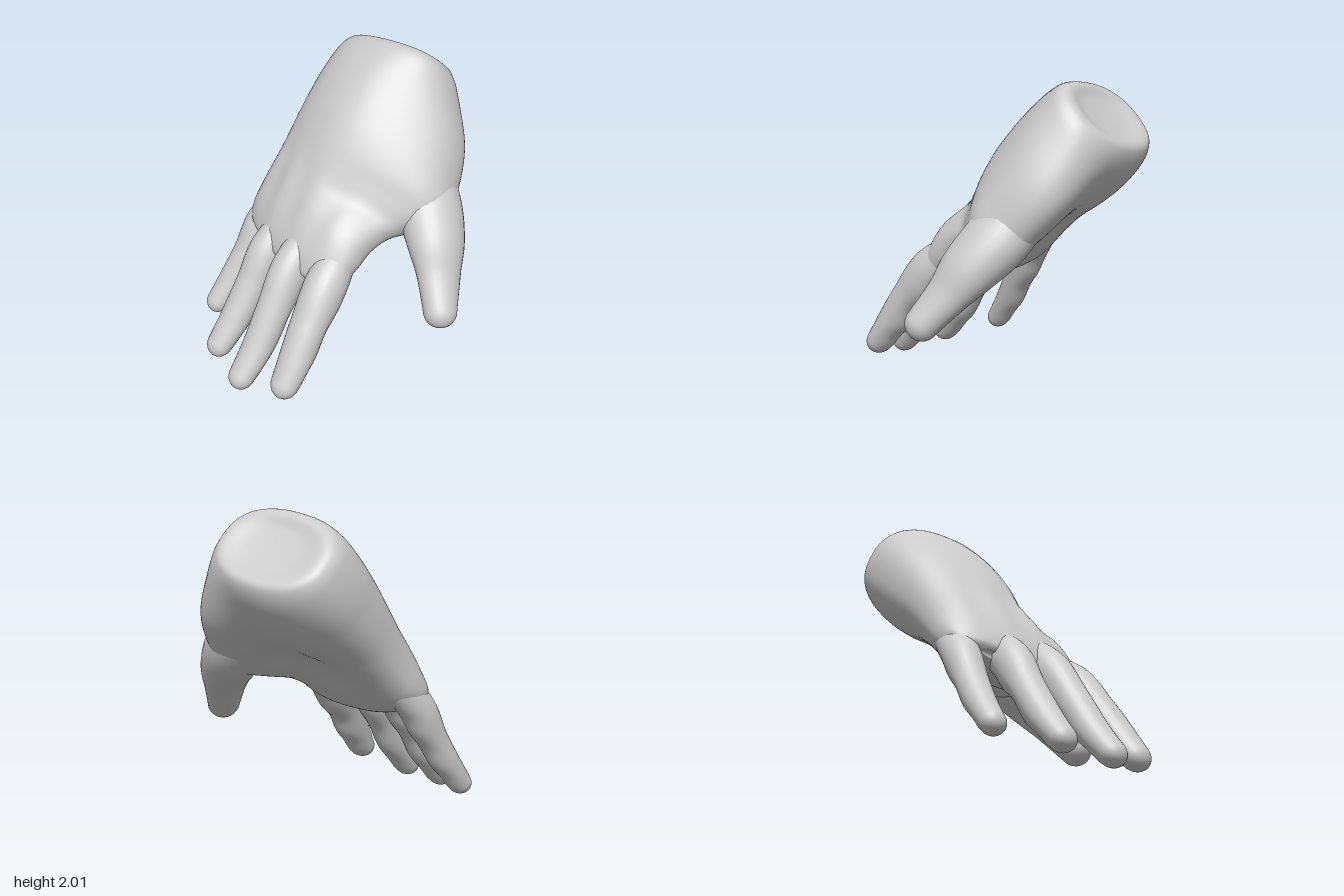
import * as THREE from 'three';

const V = (x, y, z) => new THREE.Vector3(x, y, z);
const material = new THREE.MeshStandardMaterial({ color: 0xcccccc });

// Hand frame: origin at the wrist, ALONG runs to the fingers, BACK points out of the back of the hand
const WRIST = V(0.7, 1.79, 0);
const ALONG = V(-0.69, -0.724, 0).normalize();
const BACK = V(-0.724, 0.69, 0).normalize();

// Smooth interpolation through rows of numbers, t in 0..1
function spline(rows, t) {
  const f = t * (rows.length - 1);
  const i = Math.min(Math.floor(f), rows.length - 2);
  const u = f - i;
  const row = (k) => rows[THREE.MathUtils.clamp(k, 0, rows.length - 1)];
  return rows[0].map((_, c) => {
    const [a, b, d, e] = [row(i - 1)[c], row(i)[c], row(i + 1)[c], row(i + 2)[c]];
    return b + 0.5 * u * (d - a + u * (2 * a - 5 * b + 4 * d - e + u * (3 * (b - d) + e - a)));
  });
}

// Closed skin over rings of points, with a pole at each end
function loft(name, rings) {
  const n = rings[0].length;
  const points = rings.flat();
  const index = [];
  for (let i = 0; i < rings.length - 1; i++) {
    for (let j = 0; j < n; j++) {
      const k = (j + 1) % n;
      const a = i * n + j, b = i * n + k, c = a + n, d = b + n;
      index.push(a, b, c, b, d, c);
    }
  }
  const last = (rings.length - 1) * n;
  const start = points.length;
  for (const ring of [rings[0], rings[rings.length - 1]]) {
    points.push(ring.reduce((sum, p) => sum.add(p), V(0, 0, 0)).divideScalar(n));
  }
  for (let j = 0; j < n; j++) {
    const k = (j + 1) % n;
    index.push(start, k, j, start + 1, last + j, last + k);
  }
  const geometry = new THREE.BufferGeometry().setFromPoints(points);
  geometry.setIndex(index);
  geometry.computeVertexNormals();
  const mesh = new THREE.Mesh(geometry, material);
  mesh.name = name;
  return mesh;
}

// Finger or thumb: rows of [x, y, z, half width, half thickness], ending in a rounded tip
function digit(name, rows, ref, joints) {
  const rings = [];
  const steps = 36, sides = 28, dome = 9;
  const center = (t) => V(...spline(rows, t).slice(0, 3));
  const addRing = (c, T, width, thick, pad) => {
    const A = ref.clone().cross(T).normalize();
    const B = T.clone().cross(A);
    const ring = [];
    for (let j = 0; j < sides; j++) {
      const a = (j / sides) * Math.PI * 2;
      const swell = Math.sin(a) < 0 ? 1 - pad * Math.sin(a) : 1;
      ring.push(c.clone()
        .addScaledVector(A, width * Math.cos(a))
        .addScaledVector(B, thick * Math.sin(a) * swell));
    }
    rings.push(ring);
  };
  let c, T, w, h, pad;
  for (let i = 0; i <= steps; i++) {
    const t = i / steps;
    c = center(t);
    T = center(Math.min(1, t + 0.02)).sub(center(Math.max(0, t - 0.02))).normalize();
    [w, h] = spline(rows, t).slice(3);
    // soft pads between the joints
    pad = joints * Math.cos((t - 0.1) * Math.PI * 7) * Math.min(1, t * 3);
    addRing(c, T, w, h, pad);
  }
  for (let i = 1; i < dome; i++) {
    const a = (i / dome) * Math.PI / 2;
    const tip = c.clone().addScaledVector(T, Math.sin(a) * w * 1.05);
    addRing(tip, T, w * Math.cos(a), h * Math.cos(a), pad);
  }
  return loft(name, rings);
}

// Palm: rows of [distance from wrist, outer z, thumb-side z, back height, palm depth, thumb-side droop]
function palm() {
  const rows = [
    [-0.02, -0.42, -0.32, 0.03, -0.03, 0],
    [-0.03, -0.56, -0.17, 0.14, -0.15, 0],
    [-0.055, -0.70, -0.05, 0.225, -0.25, -0.01],
    [-0.01, -0.76, 0.025, 0.285, -0.305, 0],
    [0.11, -0.78, 0.12, 0.325, -0.345, 0.08],
    [0.30, -0.785, 0.27, 0.345, -0.36, 0.19],
    [0.50, -0.775, 0.38, 0.345, -0.345, 0.25],
    [0.66, -0.765, 0.43, 0.325, -0.315, 0.28],
    [0.80, -0.755, 0.40, 0.295, -0.285, 0.27],
    [0.92, -0.75, 0.315, 0.265, -0.265, 0.19],
    [1.03, -0.75, 0.275, 0.243, -0.25, 0.09],
    [1.16, -0.755, 0.27, 0.218, -0.24, 0.02],
    [1.29, -0.76, 0.275, 0.188, -0.225, 0],
    [1.41, -0.75, 0.265, 0.148, -0.17, 0],
    [1.50, -0.70, 0.21, 0.095, -0.065, 0],
    [1.52, -0.60, 0.12, 0.05, -0.01, 0],
  ];
  const rings = [];
  const steps = 90, sides = 72;
  const bell = (v, mid, size) => Math.exp(-(((v - mid) / size) ** 2));
  for (let i = 0; i <= steps; i++) {
    const [s, lo, hi, top, bottom, droop] = spline(rows, i / steps);
    const ring = [];
    for (let j = 0; j < sides; j++) {
      const a = (j / sides) * Math.PI * 2;
      const round = (v) => Math.sign(v) * Math.abs(v) ** 0.85;
      const u = round(Math.cos(a)), v = round(Math.sin(a));
      const z = (lo + hi) / 2 + u * (hi - lo) / 2;
      const mid = (top + bottom) / 2;
      let h = mid + v * (top - bottom) / 2;
      if (v > 0) {
        // tendon ridges leading to the knuckles
        h += 0.009 * v * Math.cos((z - 0.14) * Math.PI * 2 / 0.26) * bell(s, 1.1, 0.25);
      } else {
        // hollow of the palm
        h -= 0.07 * v * bell(z, -0.25, 0.22) * bell(s, 0.85, 0.3);
      }
      // thumb side sinks towards the fleshy base of the thumb
      h -= droop * THREE.MathUtils.smoothstep(z, -0.25, hi + 0.04);
      // knuckle line curves back towards the outer fingers
      const arc = s > 0 ? 0.28 * (z + 0.15) ** 2 * (s / 1.4) ** 3 : 0;
      // wrist end is cut at a slant, further back on the thumb side
      const slant = 0.22 * (z + 0.36) * THREE.MathUtils.clamp(1 - s / 0.5, 0, 1);
      ring.push(WRIST.clone().addScaledVector(ALONG, s - arc - slant).addScaledVector(BACK, h).add(V(0, 0, z)));
    }
    rings.push(ring);
  }
  return loft('palm', rings);
}

export function createModel() {
  const hand = new THREE.Group();
  hand.name = 'hand';
  hand.add(palm());

  const fingers = {
    indexFinger: [
      [-0.06, 0.95, 0.10, 0.09, 0.09], [-0.285, 0.745, 0.175, 0.135, 0.145],
      [-0.47, 0.52, 0.225, 0.125, 0.12], [-0.60, 0.33, 0.26, 0.115, 0.108], [-0.71, 0.185, 0.285, 0.1, 0.085]],
    middleFinger: [
      [-0.13, 0.97, -0.13, 0.1, 0.1], [-0.37, 0.745, -0.10, 0.122, 0.135],
      [-0.54, 0.50, -0.07, 0.115, 0.115], [-0.70, 0.25, -0.05, 0.108, 0.1], [-0.835, 0.09, -0.04, 0.092, 0.08]],
    ringFinger: [
      [-0.11, 0.95, -0.38, 0.1, 0.1], [-0.35, 0.725, -0.385, 0.122, 0.135],
      [-0.50, 0.50, -0.385, 0.115, 0.11], [-0.65, 0.27, -0.385, 0.108, 0.1], [-0.785, 0.11, -0.385, 0.092, 0.08]],
    littleFinger: [
      [-0.01, 0.97, -0.62, 0.09, 0.09], [-0.21, 0.74, -0.66, 0.118, 0.12],
      [-0.34, 0.52, -0.68, 0.108, 0.1], [-0.47, 0.32, -0.705, 0.096, 0.09], [-0.585, 0.175, -0.72, 0.083, 0.075]],
  };
  for (const [name, rows] of Object.entries(fingers)) hand.add(digit(name, rows, BACK, 0.07));

  // Thumb with its fleshy base
  hand.add(digit('thumb', [
    [0.58, 1.47, -0.06, 0.08, 0.08], [0.53, 1.31, 0.09, 0.16, 0.17], [0.455, 1.10, 0.275, 0.19, 0.215],
    [0.375, 0.92, 0.45, 0.165, 0.195], [0.305, 0.76, 0.57, 0.12, 0.15], [0.22, 0.59, 0.695, 0.105, 0.112],
  ], V(1, 0, 0), 0));
  return hand;
}
